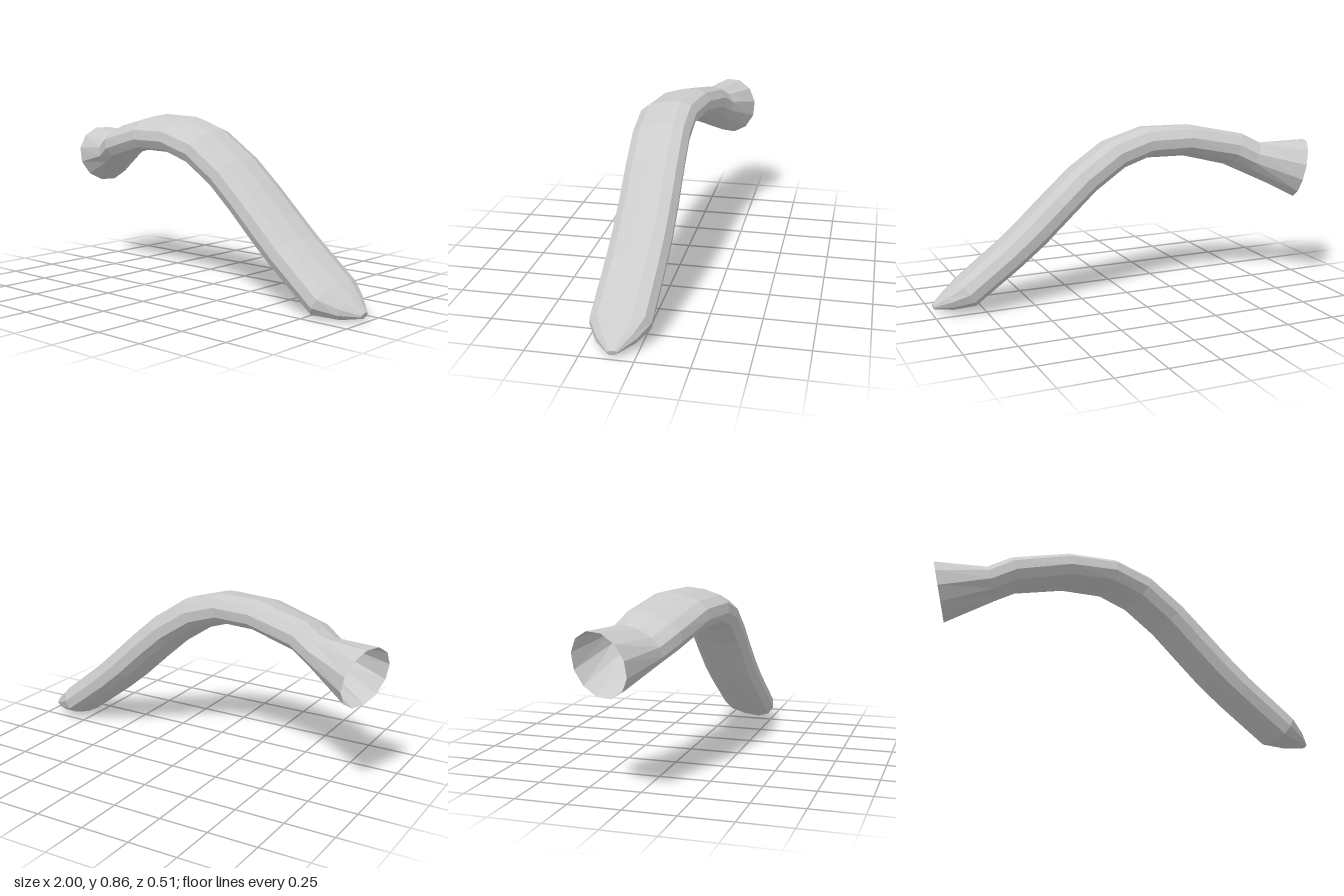
import * as THREE from 'three';

const SIDES = 12;
const ROLL = 0.2;

// Cross-sections along the limb: centre x, y, z, half width, half thickness, roundness power
const SECTIONS = [
  [-0.945, 0.61, -0.115, 0.155, 0.155, 1],
  [-0.71, 0.665, -0.03, 0.145, 0.085, 0.9],
  [-0.61, 0.715, 0.01, 0.155, 0.083, 0.8],
  [-0.35, 0.773, 0.055, 0.155, 0.081, 0.8],
  [-0.13, 0.772, 0.087, 0.153, 0.082, 0.8],
  [0.04, 0.72, 0.087, 0.15, 0.085, 0.8],
  [0.21, 0.607, 0.082, 0.15, 0.085, 0.8],
  [0.34, 0.492, 0.08, 0.15, 0.086, 0.8],
  [0.475, 0.367, 0.083, 0.151, 0.086, 0.8],
  [0.59, 0.268, 0.09, 0.151, 0.083, 0.8],
  [0.825, 0.088, 0.104, 0.151, 0.08, 0.8],
  [0.915, 0.055, 0.1, 0.098, 0.05, 0.9],
  [0.99, 0.032, 0.1, 0.024, 0.014, 1],
];

// Softly squared ellipse coordinate
const soften = (v, p) => Math.sign(v) * Math.pow(Math.abs(v), p);

function buildRings() {
  const centres = SECTIONS.map(([x, y, z]) => new THREE.Vector3(x, y, z));
  const direction = (i) => centres[i + 1].clone().sub(centres[i]).normalize();
  return SECTIONS.map(([, , , w, h, p], i) => {
    // Each ring stands square to the local direction, with its front edge rolled down
    const along = direction(Math.max(i - 1, 0))
      .add(direction(Math.min(i, SECTIONS.length - 2))).normalize();
    const side = new THREE.Vector3(0, 0, 1).projectOnPlane(along).normalize();
    const up = side.clone().cross(along);
    side.applyAxisAngle(along, ROLL);
    up.applyAxisAngle(along, ROLL);
    return Array.from({ length: SIDES }, (_, j) => {
      const a = (j / SIDES) * Math.PI * 2;
      return centres[i].clone()
        .addScaledVector(side, w * soften(Math.cos(a), p))
        .addScaledVector(up, h * soften(Math.sin(a), p));
    });
  });
}

function toGeometry(points, index) {
  const geometry = new THREE.BufferGeometry().setFromPoints(points);
  geometry.setIndex(index);
  geometry.computeVertexNormals();
  return geometry;
}

export function createModel() {
  const model = new THREE.Group();
  model.name = 'curvedLimb';
  const material = new THREE.MeshStandardMaterial({
    color: 0xcccccc, flatShading: true, side: THREE.DoubleSide,
  });
  const rings = buildRings();

  // Hollow skin, open at the flared end
  const index = [];
  for (let i = 0; i < rings.length - 1; i++) {
    for (let j = 0; j < SIDES; j++) {
      const k = (j + 1) % SIDES;
      const a = i * SIDES + j, b = i * SIDES + k;
      index.push(a, a + SIDES, b, b, a + SIDES, b + SIDES);
    }
  }
  const skin = new THREE.Mesh(toGeometry(rings.flat(), index), material);
  skin.name = 'limbSkin';
  model.add(skin);

  // Small flat cap at the tip
  const capIndex = [];
  for (let j = 1; j < SIDES - 1; j++) capIndex.push(0, j + 1, j);
  const cap = new THREE.Mesh(toGeometry(rings[rings.length - 1], capIndex), material);
  cap.name = 'tipCap';
  model.add(cap);

  return model;
}
